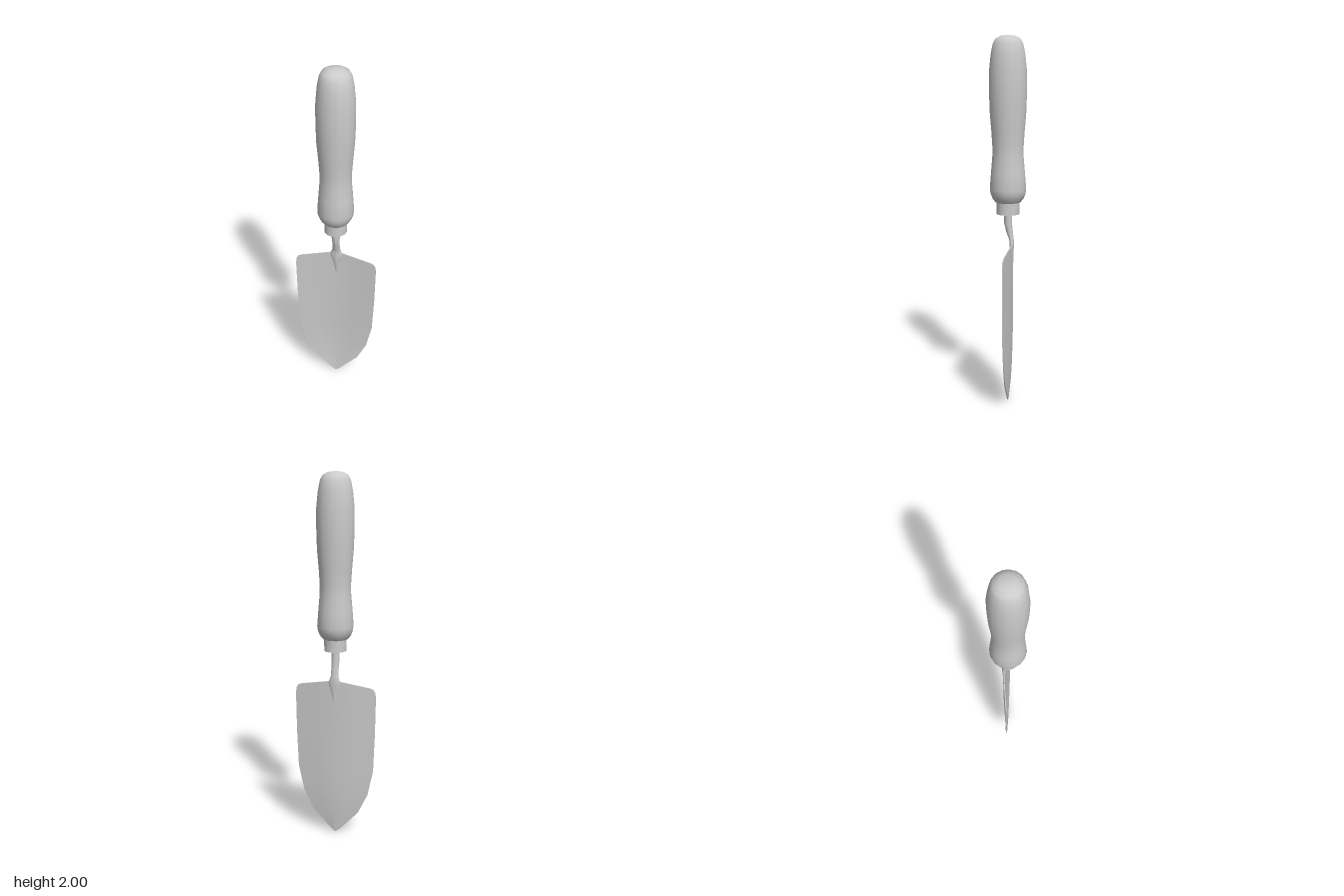
import * as THREE from 'three';
import { toCreasedNormals } from 'three/addons/utils/BufferGeometryUtils.js';

const material = new THREE.MeshStandardMaterial({ color: 0xcccccc });
const SLOPE = 0.115; // fold of the blade
const THICKNESS = 0.005;

function addPart(group, name, geometry) {
  const mesh = new THREE.Mesh(geometry, material);
  mesh.name = name;
  group.add(mesh);
  return mesh;
}

// Moves every vertex of a geometry by a rule
function reshape(geometry, rule) {
  const pos = geometry.attributes.position;
  const v = new THREE.Vector3();
  for (let i = 0; i < pos.count; i++) {
    rule(v.fromBufferAttribute(pos, i));
    pos.setXYZ(i, v.x, v.y, v.z);
  }
  geometry.computeVertexNormals();
  return geometry;
}

// Thin V-folded blade: rows of [half width, edge y, centre y]
function bladeGeometry() {
  const rows = [
    [0.003, 0, 0], [0.025, 0.018, 0.018], [0.13, 0.13, 0.13], [0.183, 0.24, 0.24],
    [0.214, 0.385, 0.385], [0.222, 0.6, 0.6], [0.225, 0.81, 0.825],
    [0.222, 0.84, 0.862], [0.213, 0.857, 0.885], [0.195, 0.866, 0.902],
  ];
  const last = rows.length - 1;
  const box = new THREE.BoxGeometry(2, last, 1, 4, last, 1);
  return reshape(box, (v) => {
    const row = Math.round(v.y + last / 2);
    const [half, edgeY, centreY] = rows[row];
    const side = Math.abs(v.x);
    const foldHalf = row > 6 ? 0.225 : half;
    const x = v.x * half;
    const z = 0.0005 - SLOPE * (foldHalf - Math.abs(x)) + v.z * THICKNESS;
    v.set(x, THREE.MathUtils.lerp(centreY, edgeY, side), z);
  });
}

// Cranked tang that flares and tapers onto the blade: [y, z, x radius, z radius]
function tangGeometry() {
  const sections = [
    [1.09, 0, 0.023, 0.022], [1.01, -0.001, 0.022, 0.021], [0.965, -0.009, 0.02, 0.018],
    [0.925, -0.019, 0.021, 0.013], [0.905, -0.021, 0.028, 0.011], [0.885, -0.021, 0.036, 0.011],
    [0.855, -0.021, 0.025, 0.01], [0.81, -0.023, 0.013, 0.007], [0.76, -0.024, 0.002, 0.003],
  ];
  const last = sections.length - 1;
  const tube = new THREE.CylinderGeometry(1, 1, last, 12, last);
  return reshape(tube, (v) => {
    const [y, z, rx, rz] = sections[Math.round(last / 2 - v.y)];
    v.set(v.x * rx, y, z + v.z * rz);
  });
}

export function createModel() {
  const trowel = new THREE.Group();
  trowel.name = 'trowel';

  addPart(trowel, 'blade', bladeGeometry());
  addPart(trowel, 'tang', tangGeometry());

  // Metal collar under the grip
  const ferrule = new THREE.CylinderGeometry(0.062, 0.062, 0.08, 12);
  addPart(trowel, 'ferrule', toCreasedNormals(ferrule, 0.7)).position.y = 1.105;

  // Turned grip with a waist and a domed end
  const profile = [
    [0, 1.13], [0.068, 1.13], [0.084, 1.15], [0.094, 1.175], [0.098, 1.2], [0.091, 1.29],
    [0.084, 1.37], [0.083, 1.42], [0.088, 1.5], [0.097, 1.61], [0.1, 1.72], [0.099, 1.82],
    [0.091, 1.9], [0.08, 1.955], [0.067, 1.98], [0.04, 1.995], [0, 2],
  ].map(([r, y]) => new THREE.Vector2(r, y));
  addPart(trowel, 'handle', toCreasedNormals(new THREE.LatheGeometry(profile, 16), 0.8));

  return trowel;
}
